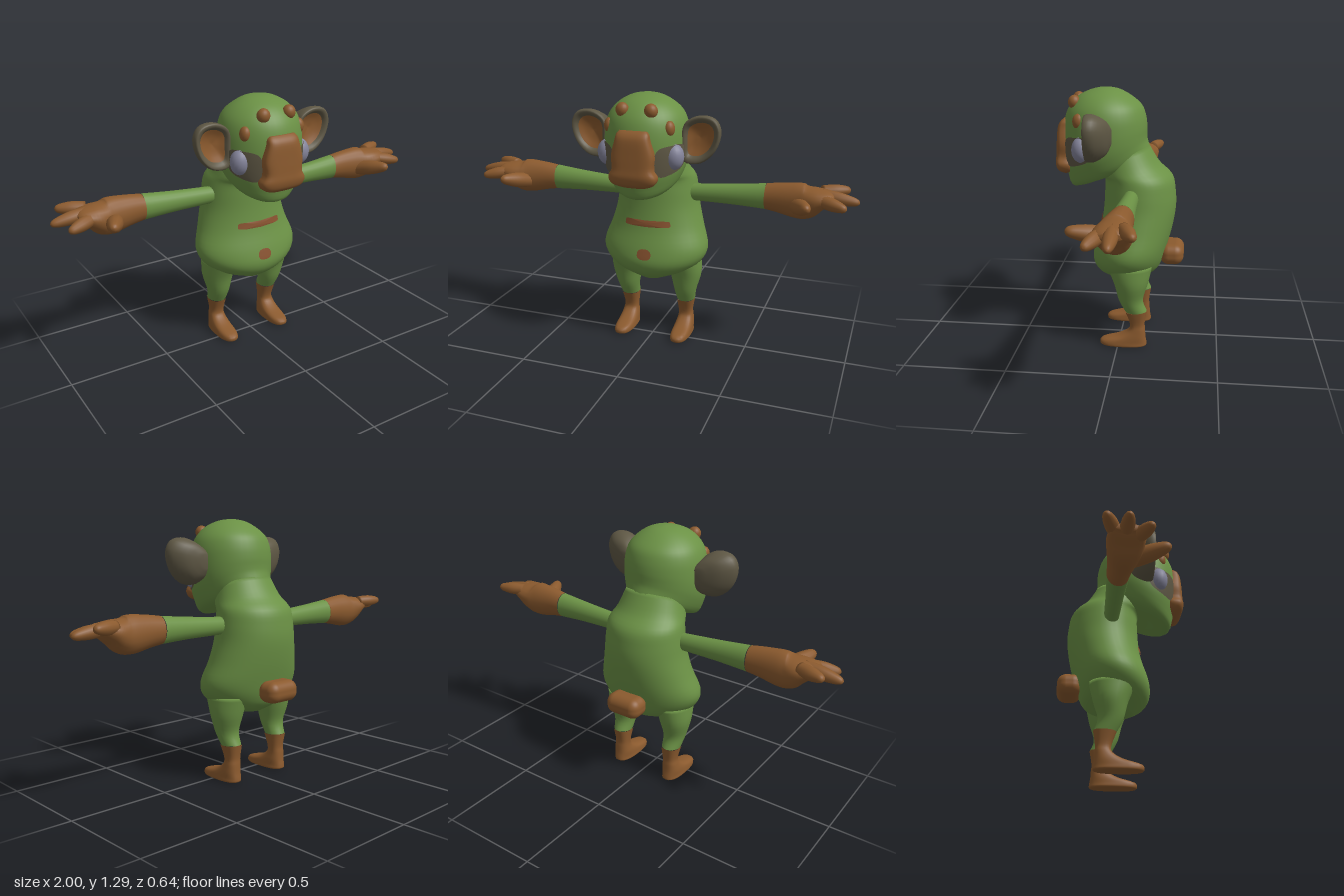
import * as THREE from 'three';
import { RoundedBoxGeometry } from 'three/addons/geometries/RoundedBoxGeometry.js';

const mat = (name, color) => {
  const m = new THREE.MeshStandardMaterial({ color });
  m.name = name;
  return m;
};

// Smooth interpolation through rows of numbers; t runs from 0 to rows.length - 1
function sample(rows, t) {
  const n = rows.length - 1;
  const i = Math.min(Math.max(Math.floor(t), 0), n - 1), f = t - i;
  const at = (k) => rows[Math.min(Math.max(k, 0), n)];
  const [a, b, c, d] = [at(i - 1), at(i), at(i + 1), at(i + 2)];
  return b.map((_, k) => {
    const m0 = (c[k] - a[k]) / 2, m1 = (d[k] - b[k]) / 2, f2 = f * f, f3 = f2 * f;
    return (2 * f3 - 3 * f2 + 1) * b[k] + (f3 - 2 * f2 + f) * m0 + (3 * f2 - 2 * f3) * c[k] + (f3 - f2) * m1;
  });
}

// Closed-ring skin: point(v, angle) gives a Vector3, with optional end caps
function loft(point, vMax, nv, nu, capStart = true, capEnd = true) {
  const pos = [], idx = [];
  for (let j = 0; j <= nv; j++)
    for (let i = 0; i < nu; i++) pos.push(...point((j / nv) * vMax, (i / nu) * Math.PI * 2).toArray());
  for (let j = 0; j < nv; j++)
    for (let i = 0; i < nu; i++) {
      const a = j * nu + i, b = j * nu + ((i + 1) % nu);
      idx.push(a, b, a + nu, b, b + nu, a + nu);
    }
  const cap = (row, flip) => {
    const c = new THREE.Vector3();
    for (let i = 0; i < nu; i++) c.add(new THREE.Vector3().fromArray(pos, (row * nu + i) * 3));
    const ci = pos.length / 3;
    pos.push(...c.divideScalar(nu).toArray());
    for (let i = 0; i < nu; i++) {
      const a = row * nu + i, b = row * nu + ((i + 1) % nu);
      flip ? idx.push(ci, b, a) : idx.push(ci, a, b);
    }
  };
  if (capStart) cap(0, true);
  if (capEnd) cap(nv, false);
  return finish(pos, idx);
}

function finish(pos, idx) {
  const g = new THREE.BufferGeometry();
  g.setAttribute('position', new THREE.Float32BufferAttribute(pos, 3));
  g.setIndex(idx);
  g.computeVertexNormals();
  return g;
}

// Tilted rings, bottom to top: [front z, front y, back z, back y, half width, centre x]
const ringSurface = (rows, p = 1) => (v, a, lift = 0) => {
  const [zf, yf, zb, yb, hw, cx = 0] = sample(rows, v);
  const pw = (n) => Math.sign(n) * Math.abs(n) ** p;
  const c = pw(Math.cos(a)), s = pw(Math.sin(a));
  return new THREE.Vector3(cx + s * (hw + lift), (yf + yb) / 2 + (c * (yf - yb)) / 2,
    (zf + zb) / 2 + c * ((zf - zb) / 2 + lift));
};
const ringLoft = (rows, p, nu, c0, c1) => loft(ringSurface(rows, p), rows.length - 1, (rows.length - 1) * 4, nu, c0, c1);

// Limb along a path: [x, y, z, side radius, upright radius]
function limb(rows, nu = 14, c0 = true, c1 = true) {
  const n = rows.length - 1;
  return loft((v, a) => {
    const r = sample(rows, v), q = sample(rows, Math.min(v + 0.02, n)), o = sample(rows, Math.max(v - 0.02, 0));
    const t = new THREE.Vector3(q[0] - o[0], q[1] - o[1], q[2] - o[2]).normalize();
    const s = new THREE.Vector3(0, 1, 0).cross(t).normalize(), u = t.clone().cross(s);
    return new THREE.Vector3(r[0], r[1], r[2])
      .addScaledVector(s, Math.cos(a) * Math.max(r[3], 0.002))
      .addScaledVector(u, Math.sin(a) * Math.max(r[4], 0.002));
  }, n, n * 4, nu, c0, c1);
}

// Thin painted patch lying just above a ring surface; p shapes its outline
function patch(surface, v, dv, a, da, p) {
  const pos = [], idx = [], nr = 8, nu = 32;
  const pw = (n) => Math.sign(n) * Math.abs(n) ** p;
  for (let j = 0; j <= nr; j++)
    for (let i = 0; i < nu; i++) {
      const t = (i / nu) * Math.PI * 2, r = j / nr;
      pos.push(...surface(v + dv * r * pw(Math.sin(t)), a + da * r * pw(Math.cos(t)), 0.005).toArray());
    }
  for (let j = 0; j < nr; j++)
    for (let i = 0; i < nu; i++) {
      const k = j * nu + i, l = j * nu + ((i + 1) % nu);
      idx.push(k, k + nu, l, l, k + nu, l + nu);
    }
  return finish(pos, idx);
}

function mirrored(geo) {
  const g = geo.clone().scale(-1, 1, 1), ix = g.index.array;
  for (let i = 0; i < ix.length; i += 3) [ix[i + 1], ix[i + 2]] = [ix[i + 2], ix[i + 1]];
  g.computeVertexNormals();
  return g;
}

export function createModel() {
  const root = new THREE.Group();
  root.name = 'creature';
  const green = mat('green skin', 0x6b9145), brown = mat('brown skin', 0x8b5a2e);
  const grey = mat('dark grey skin', 0x5e5744), eyeGrey = mat('eye grey', 0x84849a);
  const rust = mat('rust marking', 0x88522f);
  const add = (name, geo, m) => {
    const mesh = new THREE.Mesh(geo, m);
    mesh.name = name;
    root.add(mesh);
  };
  const pair = (name, geo, m) => {
    add('left' + name, geo, m);
    add('right' + name, mirrored(geo), m);
  };

  // Torso
  const torsoRows = [
    [0.05, 0.328, -0.12, 0.335, 0.07], [0.115, 0.375, -0.185, 0.375, 0.18], [0.14, 0.43, -0.215, 0.43, 0.25],
    [0.13, 0.5, -0.235, 0.5, 0.275], [0.1, 0.6, -0.26, 0.6, 0.243], [0.085, 0.7, -0.275, 0.7, 0.216],
    [0.08, 0.79, -0.272, 0.78, 0.205], [0.08, 0.845, -0.255, 0.855, 0.195], [0.1, 0.87, -0.19, 0.92, 0.175],
    [0.1, 0.93, -0.135, 1.01, 0.15]];
  const torso = ringSurface(torsoRows);
  add('torso', ringLoft(torsoRows, 1, 40), green);
  add('chestStripe', patch(torso, 4.36, 0.16, 0, 0.52, 0.3), rust);
  add('bellySpot', patch(torso, 2.8, 0.35, 0, 0.13, 0.8), rust);

  // Head
  const headRows = [
    [0.12, 0.84, -0.14, 0.93, 0.1], [0.235, 0.798, -0.145, 0.98, 0.16], [0.265, 0.86, -0.13, 1.03, 0.192],
    [0.28, 0.95, -0.127, 1.06, 0.204], [0.285, 1.05, -0.127, 1.1, 0.205], [0.275, 1.14, -0.12, 1.15, 0.197],
    [0.25, 1.2, -0.1, 1.2, 0.175], [0.2, 1.25, -0.055, 1.24, 0.13], [0.13, 1.279, 0, 1.272, 0.07],
    [0.07, 1.286, 0.05, 1.285, 0.01]];
  const head = ringSurface(headRows);
  add('head', ringLoft(headRows, 1, 40), green);
  pair('EyePatch', patch(head, 3.25, 0.8, 0.92, 0.42, 0.55), grey);

  // Snout
  add('snout', ringLoft([
    [0.28, 0.866, 0.235, 0.875, 0.065], [0.308, 0.885, 0.225, 0.89, 0.105], [0.32, 0.92, 0.22, 0.92, 0.118],
    [0.318, 0.96, 0.225, 0.955, 0.1], [0.315, 1.02, 0.22, 1.02, 0.104], [0.31, 1.09, 0.235, 1.09, 0.085],
    [0.297, 1.12, 0.24, 1.12, 0.078], [0.278, 1.136, 0.25, 1.132, 0.065]], 0.6, 32), brown);

  // Eyes and brow spots
  const blob = (x, y, z, rx, ry, rz) => new THREE.SphereGeometry(1, 20, 14).scale(rx, ry, rz).translate(x, y, z);
  pair('Eye', blob(0.165, 1.007, 0.175, 0.05, 0.063, 0.047), eyeGrey);
  pair('UpperSpot', blob(0.07, 1.22, 0.22, 0.032, 0.034, 0.03), brown);
  pair('LowerSpot', blob(0.147, 1.138, 0.188, 0.027, 0.038, 0.03), brown);

  // Cupped ears: rows are [scale, z, pivot x, pivot y] of one outline
  const rim = new THREE.CatmullRomCurve3([[0.19, 1.06], [0.2, 0.975], [0.28, 0.972], [0.35, 1.035], [0.374, 1.13],
    [0.345, 1.183], [0.27, 1.195], [0.2, 1.155]].map(([x, y]) => new THREE.Vector3(x, y, 0)), true);
  const earLoft = (rows, c0, c1) => loft((v, a) => {
    const [s, z, px, py] = sample(rows, v), q = rim.getPoint(a / (Math.PI * 2));
    return new THREE.Vector3(px + (q.x - px) * s, py + (q.y - py) * s, z);
  }, rows.length - 1, (rows.length - 1) * 3, 32, c0, c1);
  pair('Ear', earLoft([[0.3, 0.025, 0.18, 1.08], [0.68, 0.045, 0.18, 1.08], [0.93, 0.085, 0.2, 1.08],
    [1, 0.118, 0.24, 1.08], [0.95, 0.138, 0.27, 1.085], [0.8, 0.135, 0.272, 1.09], [0.68, 0.12, 0.272, 1.09]], true, false), grey);
  pair('InnerEar', earLoft([[0.69, 0.121, 0.272, 1.09], [0.4, 0.107, 0.272, 1.09], [0.05, 0.1, 0.272, 1.09]], false, true), brown);

  // Arms and hands
  pair('Arm', limb([[0.12, 0.776, -0.065, 0.036, 0.04], [0.2, 0.778, -0.065, 0.038, 0.043],
    [0.4, 0.785, -0.065, 0.044, 0.052], [0.56, 0.79, -0.066, 0.052, 0.064]], 20, true, false), green);
  pair('Hand', limb([[0.56, 0.79, -0.066, 0.052, 0.064], [0.63, 0.79, -0.063, 0.057, 0.075],
    [0.71, 0.786, -0.06, 0.067, 0.087], [0.76, 0.786, -0.056, 0.077, 0.082], [0.81, 0.802, -0.053, 0.084, 0.058],
    [0.86, 0.815, -0.053, 0.074, 0.034], [0.885, 0.815, -0.053, 0.05, 0.015]], 20, false, true), brown);
  const finger = (p, q, r) => {
    const at = (t, k) => [...p.map((a, i) => a + (q[i] - a) * t), r * k, r * k];
    return limb([at(0, 1), at(0.45, 1.08), at(0.8, 0.8), at(0.95, 0.5), at(1, 0.1)], 12);
  };
  [[[0.82, 0.83, -0.1], [0.948, 0.835, -0.148]], [[0.82, 0.825, -0.055], [1, 0.8, -0.055]],
    [[0.82, 0.81, -0.01], [0.95, 0.79, 0.045]]].forEach(([p, q], i) => pair('Finger' + (i + 1), finger(p, q, 0.029), brown));
  pair('Thumb', finger([0.71, 0.765, -0.03], [0.785, 0.805, 0.142], 0.036), brown);

  // Legs and feet
  pair('Leg', ringLoft([[-0.037, 0.185, -0.145, 0.19, 0.047, 0.155], [-0.004, 0.25, -0.125, 0.25, 0.058, 0.158],
    [0.02, 0.34, -0.15, 0.34, 0.08, 0.16], [0.06, 0.43, -0.17, 0.43, 0.09, 0.15]], 1, 24, false, true), green);
  pair('Foot', ringLoft([[0.07, 0, -0.135, 0, 0.04, 0.155], [0.09, 0.006, -0.145, 0.006, 0.049, 0.155],
    [0.082, 0.032, -0.145, 0.02, 0.048, 0.155], [0, 0.055, -0.14, 0.05, 0.045, 0.155],
    [-0.052, 0.085, -0.137, 0.09, 0.039, 0.155], [-0.06, 0.12, -0.135, 0.125, 0.037, 0.153],
    [-0.037, 0.185, -0.145, 0.19, 0.047, 0.155]], 0.8, 24, true, false), brown);

  // Stubby tail
  add('tail', new RoundedBoxGeometry(0.19, 0.105, 0.12, 5, 0.045).translate(0, 0.46, -0.26), brown);
  return root;
}
